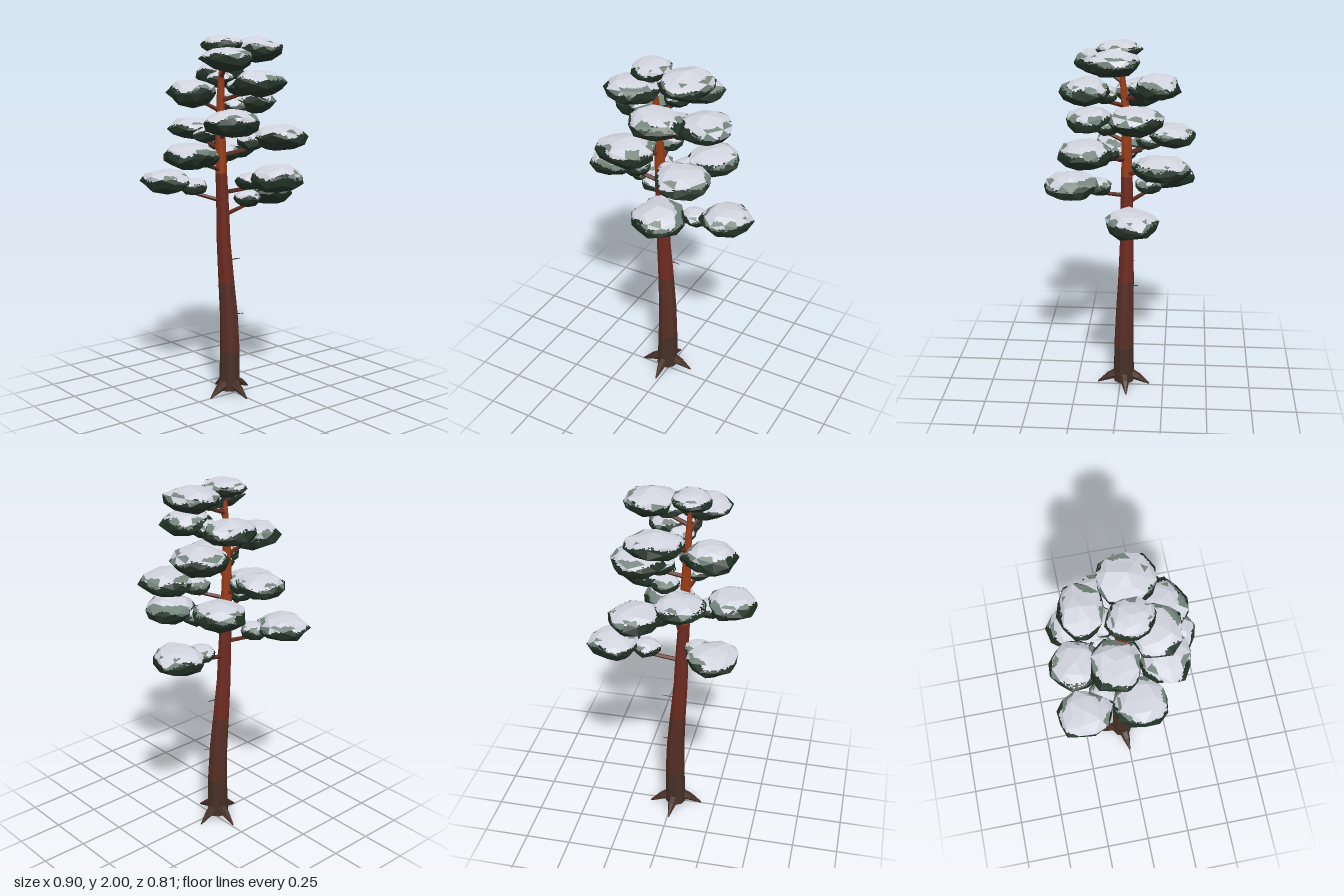
import * as THREE from 'three';

const paint = (name, color) => {
  const m = new THREE.MeshStandardMaterial({ color });
  m.name = name;
  return m;
};
const V = (x, y, z) => new THREE.Vector3(x, y, z);

// Repeatable pseudo-random value from a position and seed
const hash = (x, y, z, s) => {
  const n = Math.sin(x * 12.99 + y * 78.23 + z * 37.72 + s * 4.17) * 43758.55;
  return n - Math.floor(n);
};

// Flat-faced geometry from a plain list of corner points
function facets(points) {
  const g = new THREE.BufferGeometry().setFromPoints(points);
  g.computeVertexNormals();
  return g;
}

// Tapered limb lofted through points, with one radius per point and closed ends
function limb(points, radii, sides) {
  const axis = points[points.length - 1].clone().sub(points[0]).normalize();
  const ref = Math.abs(axis.y) > 0.8 ? V(0, 0, 1) : V(0, 1, 0);
  const u = ref.cross(axis).normalize();
  const v = axis.clone().cross(u);
  const at = (k, s) => {
    const a = (s / sides) * Math.PI * 2;
    return points[k].clone().addScaledVector(u, Math.cos(a) * radii[k]).addScaledVector(v, Math.sin(a) * radii[k]);
  };
  const out = [];
  const last = points.length - 1;
  for (let s = 0; s < sides; s++) {
    for (let k = 0; k < last; k++) {
      out.push(at(k, s), at(k, s + 1), at(k + 1, s + 1), at(k, s), at(k + 1, s + 1), at(k + 1, s));
    }
    out.push(points[0].clone(), at(0, s + 1), at(0, s));
    out.push(points[last].clone(), at(last, s), at(last, s + 1));
  }
  return facets(out);
}

// Trunk sections: x, y, z, radius
const TRUNK = [
  [-0.021, 0.025, -0.021, 0.06], [-0.017, 0.25, -0.021, 0.056], [-0.021, 0.45, -0.025, 0.051],
  [-0.034, 0.65, -0.031, 0.045], [-0.05, 0.87, -0.034, 0.039], [-0.056, 1.05, -0.034, 0.036],
  [-0.066, 1.26, -0.033, 0.032], [-0.073, 1.48, -0.03, 0.027], [-0.08, 1.68, -0.02, 0.021], [-0.085, 1.88, 0, 0.011],
];

function trunkAt(y) {
  let k = 0;
  while (k < TRUNK.length - 2 && TRUNK[k + 1][1] < y) k++;
  const a = TRUNK[k], b = TRUNK[k + 1], t = (y - a[1]) / (b[1] - a[1]);
  return V(a[0] + (b[0] - a[0]) * t, y, a[2] + (b[2] - a[2]) * t);
}

// Large clumps: x, y, z, then half sizes
const CLUMPS = [
  [-0.095, 1.95, 0.01, 0.11, 0.052, 0.125],
  [0.12, 1.92, 0.03, 0.145, 0.072, 0.15],
  [-0.14, 1.877, 0.12, 0.15, 0.068, 0.135],
  [0.055, 1.785, -0.2, 0.155, 0.07, 0.125],
  [0.03, 1.75, 0.18, 0.155, 0.075, 0.14],
  [-0.215, 1.695, -0.085, 0.145, 0.077, 0.135],
  [0.165, 1.635, -0.09, 0.153, 0.077, 0.152],
  [-0.155, 1.55, 0.175, 0.16, 0.075, 0.145],
  [0.175, 1.455, 0.17, 0.158, 0.077, 0.148],
  [-0.095, 1.487, -0.27, 0.135, 0.062, 0.143],
  [0.155, 1.375, -0.23, 0.143, 0.072, 0.155],
  [-0.315, 1.375, 0.02, 0.143, 0.072, 0.147],
  [0.08, 1.25, 0.26, 0.15, 0.077, 0.154],
  [-0.268, 1.205, -0.26, 0.143, 0.07, 0.154],
  [0.31, 1.122, -0.08, 0.149, 0.077, 0.152],
];

export function createModel() {
  const tree = new THREE.Group();
  tree.name = 'snowyPine';
  const barkBase = paint('dark base bark', 0x463027);
  const barkLow = paint('brown bark', 0x562e25);
  const barkMid = paint('red bark', 0x6c2a1f);
  const barkTop = paint('orange bark', 0x973b15);
  const branchBark = paint('branch bark', 0x5a2c20);
  const needles = paint('dark needles', 0x213126);
  const frost = paint('frosted needles', 0x75867d);
  const snow = paint('snow', 0xd0d3dd);

  const add = (parent, name, geometry, material) => {
    const m = new THREE.Mesh(geometry, material);
    m.name = name;
    parent.add(m);
  };

  // Trunk in four bark bands
  [['trunkBase', 0, 1, barkBase], ['trunkLower', 1, 3, barkLow], ['trunkMiddle', 3, 6, barkMid], ['trunkUpper', 6, 9, barkTop]]
    .forEach(([name, from, to, mat]) => {
      const part = TRUNK.slice(from, to + 1);
      const g = limb(part.map((p) => V(p[0], p[1], p[2])), part.map((p) => p[3]), 9);
      add(tree, name, g, mat);
    });

  // Four roots splayed around the foot
  [-0.15, 1.53, 3.0, 4.8].forEach((a) => {
    const p = (r, y) => V(-0.022 + Math.cos(a) * r, y, -0.02 + Math.sin(a) * r);
    add(tree, 'root', limb([p(0.025, 0.07), p(0.085, 0.045), p(0.15, 0.006)], [0.032, 0.022, 0.004], 6), barkBase);
  });

  // Dead twigs on the bare trunk
  [[0.77, 0.055, 0.77, -0.025], [0.46, 0.06, 0.457, 0.0], [0.62, -0.045, 0.615, -0.1], [0.76, -0.05, 0.765, -0.08]]
    .forEach(([y, x, tipY, z]) => {
      add(tree, 'twig', limb([trunkAt(y), V(x, tipY, z)], [0.005, 0.002], 4), barkBase);
    });

  // Foliage clump: faceted pad, snow on the upper facets with a ragged edge
  function clump(name, c, size, seed) {
    const group = new THREE.Group();
    group.name = name;
    group.position.copy(c);
    const src = new THREE.IcosahedronGeometry(1, 1).rotateY(seed * 1.7).attributes.position;
    const scale = V(...size);
    const corner = (i) => {
      const p = V().fromBufferAttribute(src, i);
      const q = (n) => Math.round(n * 100) / 100;
      return p.multiplyScalar(0.86 + 0.2 * hash(q(p.x), q(p.y), q(p.z), seed));
    };
    const lists = [[], [], []];
    const n = 5;
    for (let f = 0; f < src.count; f += 3) {
      const a = corner(f);
      const ab = corner(f + 1).sub(a), ac = corner(f + 2).sub(a);
      const mid = a.clone().addScaledVector(ab, 1 / 3).addScaledVector(ac, 1 / 3);
      const frosted = hash(mid.x, mid.y, mid.z, seed) < 0.25 + 0.35 * mid.x;
      const at = (i, j) => a.clone().addScaledVector(ab, i / n).addScaledVector(ac, j / n);
      const put = (...tri) => {
        const m = V().add(tri[0]).add(tri[1]).add(tri[2]).divideScalar(3);
        const ragged = 0.14 * (hash(m.x, m.y, m.z, seed) - 0.5) + 0.16 * Math.sin(m.x * 4 + m.z * 3 + seed);
        const edge = (frosted ? 0.14 : 0.29) + ragged;
        const kind = m.y < edge ? 0 : frosted && m.y < 0.62 ? 1 : 2;
        tri.forEach((p) => lists[kind].push(p.multiply(scale)));
      };
      for (let i = 0; i < n; i++) {
        for (let j = 0; i + j < n; j++) {
          put(at(i, j), at(i + 1, j), at(i, j + 1));
          if (i + j < n - 1) put(at(i + 1, j), at(i + 1, j + 1), at(i, j + 1));
        }
      }
    }
    [['needles', needles], ['frost', frost], ['snowCap', snow]].forEach(([part, mat], k) => {
      if (lists[k].length) add(group, part, facets(lists[k]), mat);
    });
    tree.add(group);
  }

  // Branches, each ending in a large clump with a small one partway along
  CLUMPS.forEach(([x, y, z, rx, ry, rz], i) => {
    const tip = V(x, y, z);
    const root = trunkAt(Math.min(y - 0.1, 1.82));
    const elbow = root.clone().lerp(tip, 0.55);
    elbow.y -= 0.012;
    add(tree, 'branch', limb([root, elbow, tip], [0.013, 0.01, 0.005], 5), branchBark);
    clump('foliage', tip, [rx, ry, rz], i + 1);
    if (root.distanceTo(tip) > 0.2) {
      const small = root.clone().lerp(tip, 0.52);
      small.y = y - 0.025;
      clump('smallFoliage', small, [0.08, 0.05, 0.08], i + 31);
    }
  });

  return tree;
}
